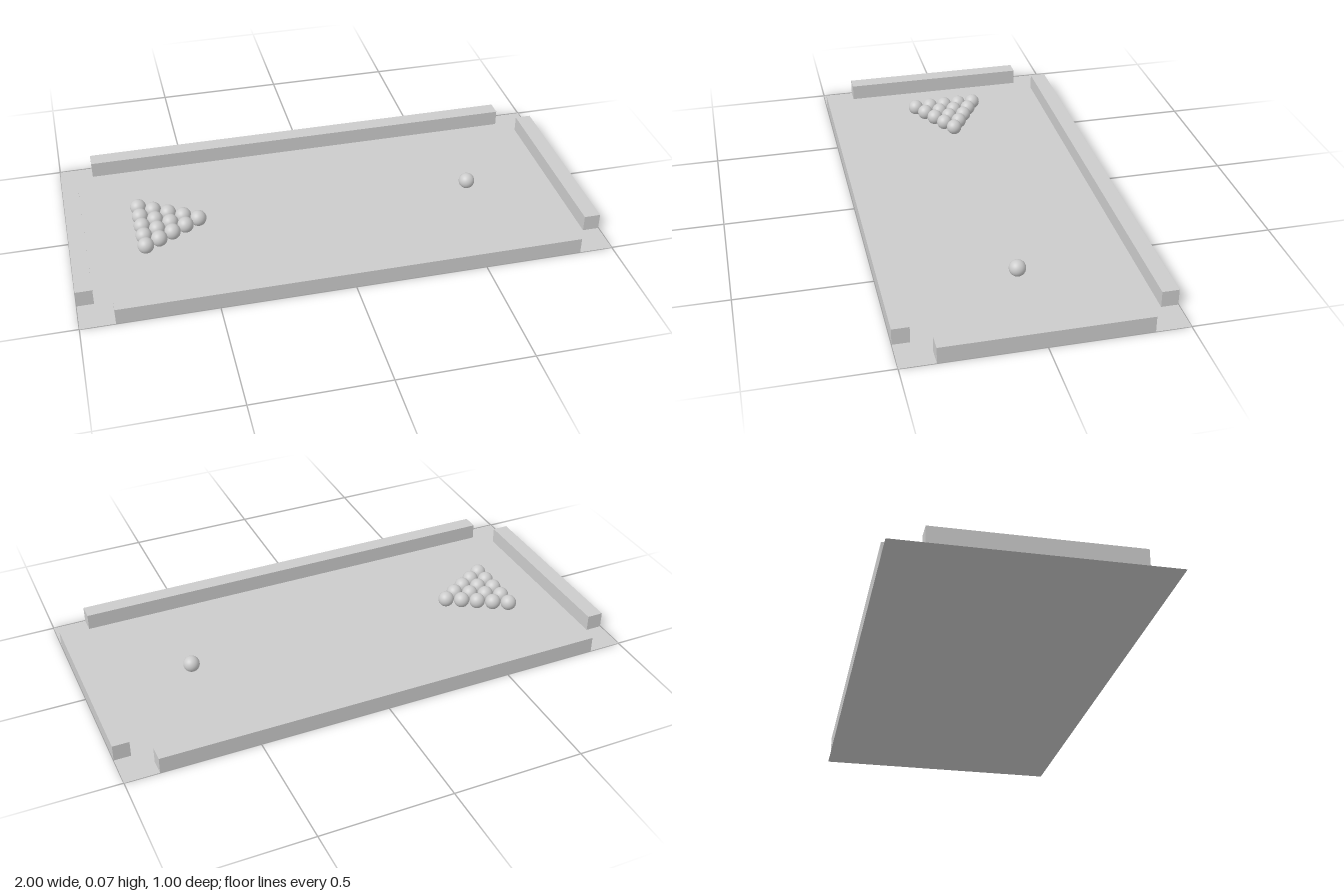
import * as THREE from 'three';

export function createModel() {
  const table = new THREE.Group();
  table.name = 'poolTable';
  const material = new THREE.MeshStandardMaterial({ color: 0xcccccc });
  const sheet = new THREE.MeshStandardMaterial({ color: 0xcccccc, side: THREE.DoubleSide });

  const add = (name, geometry, x, y, z, mat = material, parent = table) => {
    const mesh = new THREE.Mesh(geometry, mat);
    mesh.name = name;
    mesh.position.set(x, y, z);
    parent.add(mesh);
  };

  // Thin flat playing bed
  add('bed', new THREE.PlaneGeometry(2, 1).rotateX(-Math.PI / 2), 0, 0, 0, sheet);

  // Cushion rails, leaving the corners open
  const rail = 0.0625;
  const offset = rail / 2;
  const sideRail = new THREE.BoxGeometry(1.744, rail, rail);
  const endRail = new THREE.BoxGeometry(rail, rail, 0.746);
  add('frontRail', sideRail, 0, offset, 0.5 - offset);
  add('backRail', sideRail, 0, offset, -0.5 + offset);
  add('leftRail', endRail, 1 - offset, offset, 0);
  add('rightRail', endRail, -1 + offset, offset, 0);

  // Triangular rack of fifteen balls, apex towards the cue ball
  const radius = 0.0312;
  const spacing = 0.063;
  const ballY = 0.04;
  const ball = new THREE.SphereGeometry(radius, 32, 20);
  const rack = new THREE.Group();
  rack.name = 'rack';
  table.add(rack);
  for (let row = 0; row < 5; row++) {
    for (let i = 0; i <= row; i++) {
      const x = -0.501 - row * spacing * Math.sqrt(3) / 2;
      add('rackBall', ball, x, ballY, (i - row / 2) * spacing, material, rack);
    }
  }

  add('cueBall', ball, 0.588, ballY, 0);
  return table;
}
